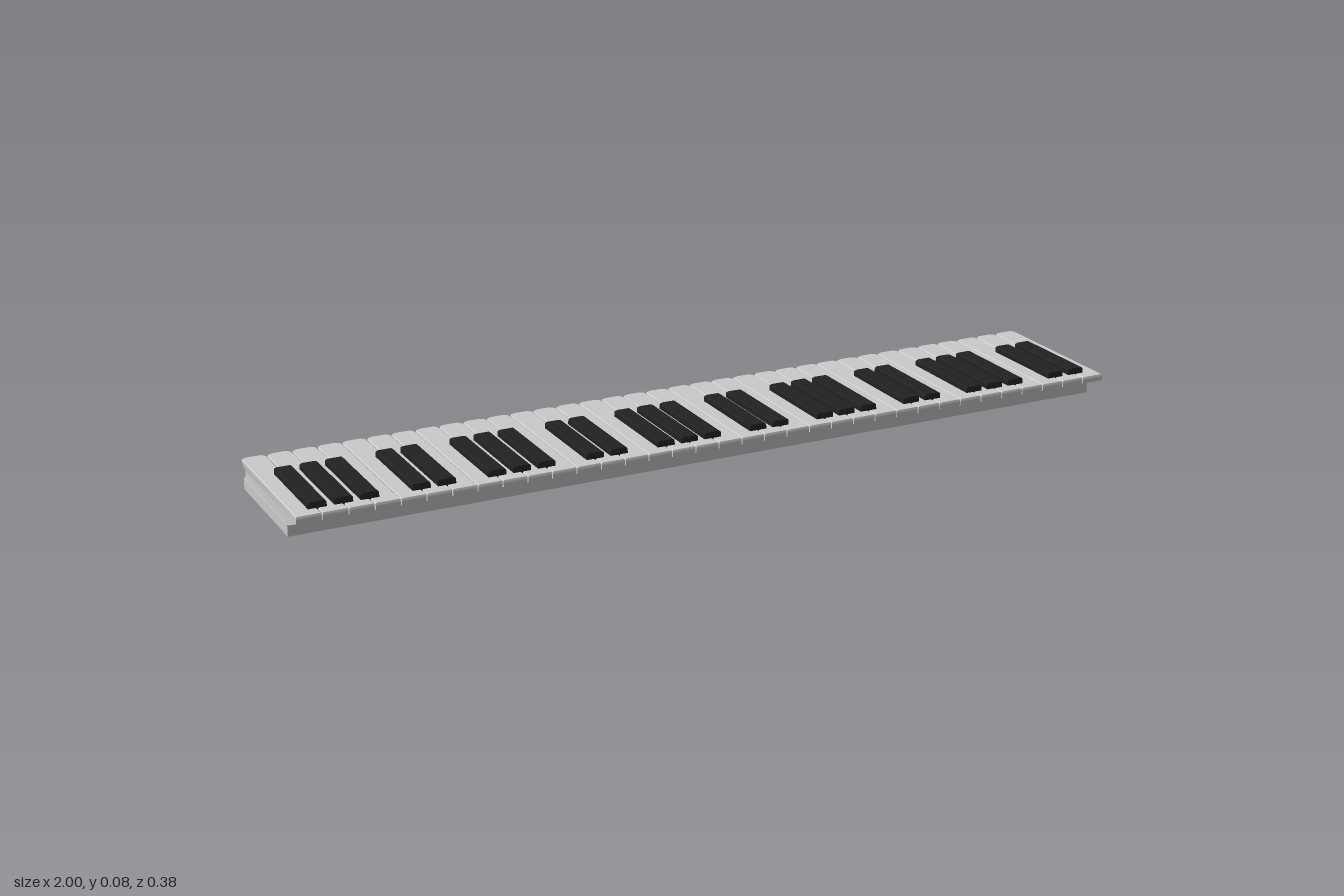
import * as THREE from 'three';
import { toCreasedNormals } from 'three/addons/utils/BufferGeometryUtils.js';

// Plan outline, counter-clockwise from above, with the playing end (-z) rounded.
function outline(half, front, back, r) {
  const pts = [[-half, back], [half, back]];
  const steps = 5;
  for (let i = 0; i <= steps; i++) {
    const a = (i / steps) * Math.PI / 2;
    pts.push([half - r + r * Math.cos(a), front + r - r * Math.sin(a)]);
  }
  for (let i = 0; i <= steps; i++) {
    const a = Math.PI / 2 + (i / steps) * Math.PI / 2;
    pts.push([-half + r + r * Math.cos(a), front + r - r * Math.sin(a)]);
  }
  return pts;
}

// Solid through stacked outlines; each level is [y, half width, front z, back z].
function loft(levels, r) {
  const pos = [], index = [];
  let n = 0;
  for (const [y, half, front, back] of levels) {
    const loop = outline(half, front, back, r);
    n = loop.length;
    for (const [x, z] of loop) pos.push(x, y, z);
  }
  const last = (levels.length - 1) * n;
  for (let k = 0; k < levels.length - 1; k++) {
    for (let i = 0; i < n; i++) {
      const a = k * n + i, b = k * n + (i + 1) % n;
      index.push(a, b, b + n, a, b + n, a + n);
    }
  }
  for (let i = 1; i < n - 1; i++) {
    index.push(0, i + 1, i);
    index.push(last, last + i, last + i + 1);
  }
  const geo = new THREE.BufferGeometry();
  geo.setAttribute('position', new THREE.Float32BufferAttribute(pos, 3));
  geo.setIndex(index);
  return toCreasedNormals(geo, 0.6);
}

export function createModel() {
  const model = new THREE.Group();
  model.name = 'pianoKeyboard';
  const grey = new THREE.MeshStandardMaterial({ color: 0xcccccc });
  const black = new THREE.MeshStandardMaterial({ color: 0x222222 });

  const count = 35;
  const pitch = 2 / count;

  // Continuous bed under the keys
  const bed = new THREE.Mesh(new THREE.BoxGeometry(2, 0.026, 0.3), grey);
  bed.name = 'keyBed';
  bed.position.set(0, 0.013, -0.02);
  model.add(bed);

  // White key: straight skirt, overhanging lip at -z, sloped tail at +z
  const h = pitch / 2 - 0.0012;
  const whiteGeo = loft([
    [0, h, -0.175, 0.13],
    [0.025, h, -0.174, 0.13],
    [0.038, h, -0.171, 0.162],
    [0.045, h, -0.169, 0.179],
    [0.05, h, -0.174, 0.19],
    [0.054, h, -0.188, 0.19],
    [0.057, h, -0.19, 0.19],
    [0.063, h, -0.19, 0.19],
    [0.065, h - 0.002, -0.188, 0.189],
  ], 0.013);

  // Black key: raised bar with a bevelled top
  const blackGeo = loft([
    [0.055, 0.021, -0.069, 0.16],
    [0.076, 0.02, -0.069, 0.16],
    [0.079, 0.017, -0.066, 0.159],
  ], 0.004);

  const whiteKeys = new THREE.Group();
  whiteKeys.name = 'whiteKeys';
  const blackKeys = new THREE.Group();
  blackKeys.name = 'blackKeys';
  model.add(whiteKeys, blackKeys);

  for (let i = 0; i < count; i++) {
    const white = new THREE.Mesh(whiteGeo, grey);
    white.name = 'whiteKey';
    white.position.x = -1 + (i + 0.5) * pitch;
    whiteKeys.add(white);

    // Groups of three and two in every seven
    if ([1, 2, 3, 5, 6].includes(i % 7)) {
      const sharp = new THREE.Mesh(blackGeo, black);
      sharp.name = 'blackKey';
      sharp.position.x = -1 + i * pitch;
      blackKeys.add(sharp);
    }
  }
  return model;
}
